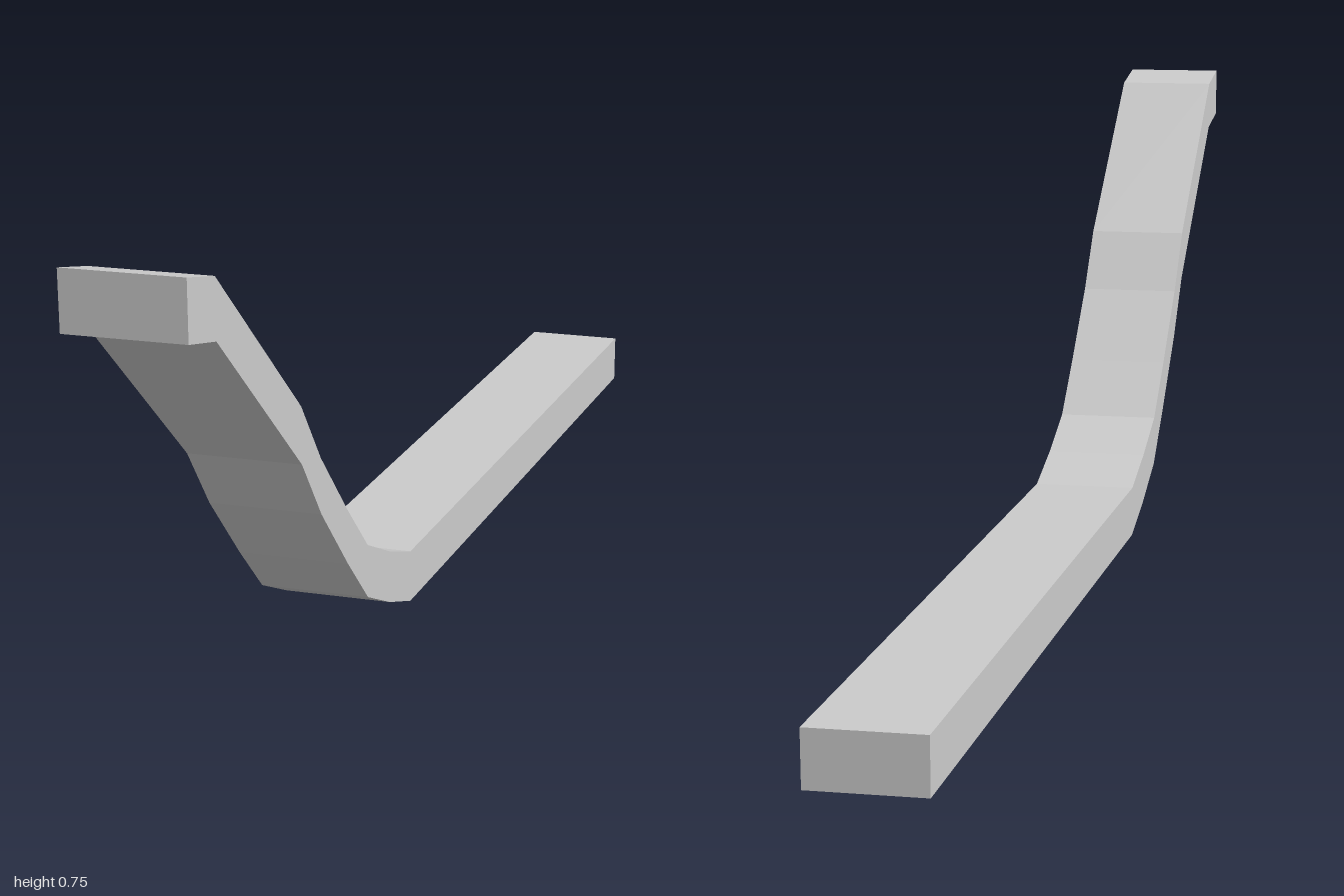
import * as THREE from 'three';

const WIDTH = 0.17;
const THICKNESS = 0.086; // measured vertically
const SKEW = 0.015;      // how far the -x side is shifted forward

// Underside of the strip as [z, y], from the raised front tip to the flat back end
const UNDERSIDE = [
  [0.985, 0.664], [0.906, 0.645], [0.64, 0.386], [0.572, 0.286],
  [0.473, 0.17], [0.393, 0.083], [0.3, 0.036], [0.208, 0], [-1, 0],
];

export function createModel() {
  const group = new THREE.Group();
  group.name = 'bentBracket';

  // Side profile: underside, then the same line raised by the thickness
  const lower = UNDERSIDE.map(([z, y]) => new THREE.Vector2(z, y));
  const upper = UNDERSIDE.map(([z, y]) => new THREE.Vector2(z, y + THICKNESS)).reverse();
  const geometry = new THREE.ExtrudeGeometry(new THREE.Shape([...lower, ...upper]), {
    depth: WIDTH, bevelEnabled: false,
  });
  geometry.translate(0, 0, -WIDTH / 2);
  geometry.rotateY(-Math.PI / 2);

  // Skew the strip so both ends are cut slightly out of square
  const pos = geometry.attributes.position;
  for (let i = 0; i < pos.count; i++) {
    pos.setZ(i, pos.getZ(i) + SKEW * (0.5 - pos.getX(i) / WIDTH));
  }
  geometry.computeVertexNormals();

  const strip = new THREE.Mesh(
    geometry,
    new THREE.MeshStandardMaterial({ color: 0xcccccc, flatShading: true }),
  );
  strip.name = 'bentStrip';
  group.add(strip);
  return group;
}
